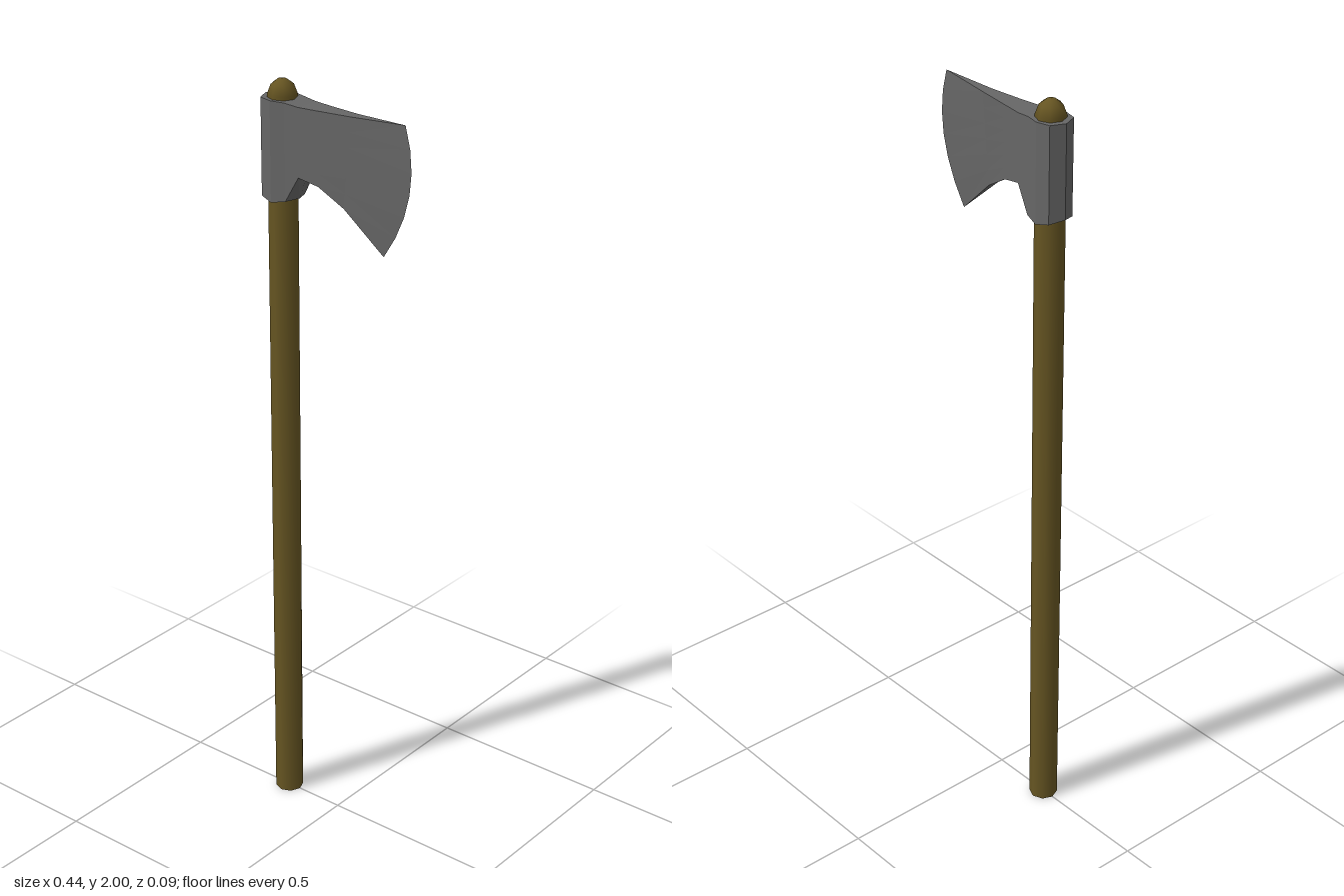
import * as THREE from 'three';

const AXIS_X = -0.17;

// Octagonal shaft with a small domed tip
function makeHandle() {
  const r = 0.037;
  const side = [[r, 0], [r, 1.962], [0.028, 1.986], [0.012, 1.998], [0, 2]]
    .map(([x, y]) => new THREE.Vector2(x, y));
  const mat = new THREE.MeshStandardMaterial({ color: 0x665522 });
  const group = new THREE.Group();
  group.name = 'handle';
  const shaft = new THREE.Mesh(new THREE.LatheGeometry(side, 8), mat);
  shaft.name = 'shaft';
  const base = new THREE.Mesh(new THREE.CircleGeometry(r, 8), mat);
  base.rotation.x = Math.PI / 2;
  base.name = 'shaftBase';
  group.add(shaft, base);
  group.position.x = AXIS_X;
  return group;
}

// Axe head: upright sections from the back of the eye to the cutting edge
function makeHead() {
  // bottom x, bottom y, top x, top y, half thickness, forward bulge, keel x, keel y
  const sections = [
    [-0.223, 1.715, -0.223, 1.955, 0, 0],
    [-0.207, 1.708, -0.207, 1.955, 0.037, 0],
    [-0.171, 1.70, -0.171, 1.955, 0.046, 0],
    [-0.133, 1.708, -0.133, 1.954, 0.037, 0, -0.118, 1.71],
    [-0.095, 1.775, -0.095, 1.95, 0.033, 0],
    [-0.04, 1.763, -0.04, 1.95, 0.0255, 0],
    [0.03, 1.72, 0.05, 1.951, 0.0145, 0],
    [0.14, 1.62, 0.20, 1.957, 0, 0.044],
  ];
  const rows = 6;
  const pos = [];
  const tri = (a, b, c) => {
    const area = b.clone().sub(a).cross(c.clone().sub(a)).length();
    if (area > 1e-7) pos.push(...a.toArray(), ...b.toArray(), ...c.toArray());
  };
  const quad = (a, b, c, d) => { tri(a, b, c); tri(a, c, d); };
  const point = ([xb, yb, xt, yt, w, bulge], j, s) => {
    const t = j / rows;
    return new THREE.Vector3(
      xb + (xt - xb) * t + bulge * 4 * t * (1 - t), yb + (yt - yb) * t, s * w);
  };
  const keel = (s) => new THREE.Vector3(s[6] ?? s[0], s[7] ?? s[1], 0);

  for (let i = 0; i < sections.length - 1; i++) {
    const a = sections[i], b = sections[i + 1];
    // Cheeks
    for (let j = 0; j < rows; j++) {
      quad(point(a, j, 1), point(b, j, 1), point(b, j + 1, 1), point(a, j + 1, 1));
      quad(point(a, j + 1, -1), point(b, j + 1, -1), point(b, j, -1), point(a, j, -1));
    }
    // Top face, then the two halves of the underside
    quad(point(a, rows, 1), point(b, rows, 1), point(b, rows, -1), point(a, rows, -1));
    quad(keel(a), keel(b), point(b, 0, 1), point(a, 0, 1));
    quad(point(a, 0, -1), point(b, 0, -1), keel(b), keel(a));
  }
  const geo = new THREE.BufferGeometry();
  geo.setAttribute('position', new THREE.Float32BufferAttribute(pos, 3));
  geo.computeVertexNormals();
  const head = new THREE.Mesh(geo,
    new THREE.MeshStandardMaterial({ color: 0x666666, flatShading: true }));
  head.name = 'axeHead';
  return head;
}

export function createModel() {
  const model = new THREE.Group();
  model.name = 'axe';
  model.add(makeHandle(), makeHead());
  return model;
}
